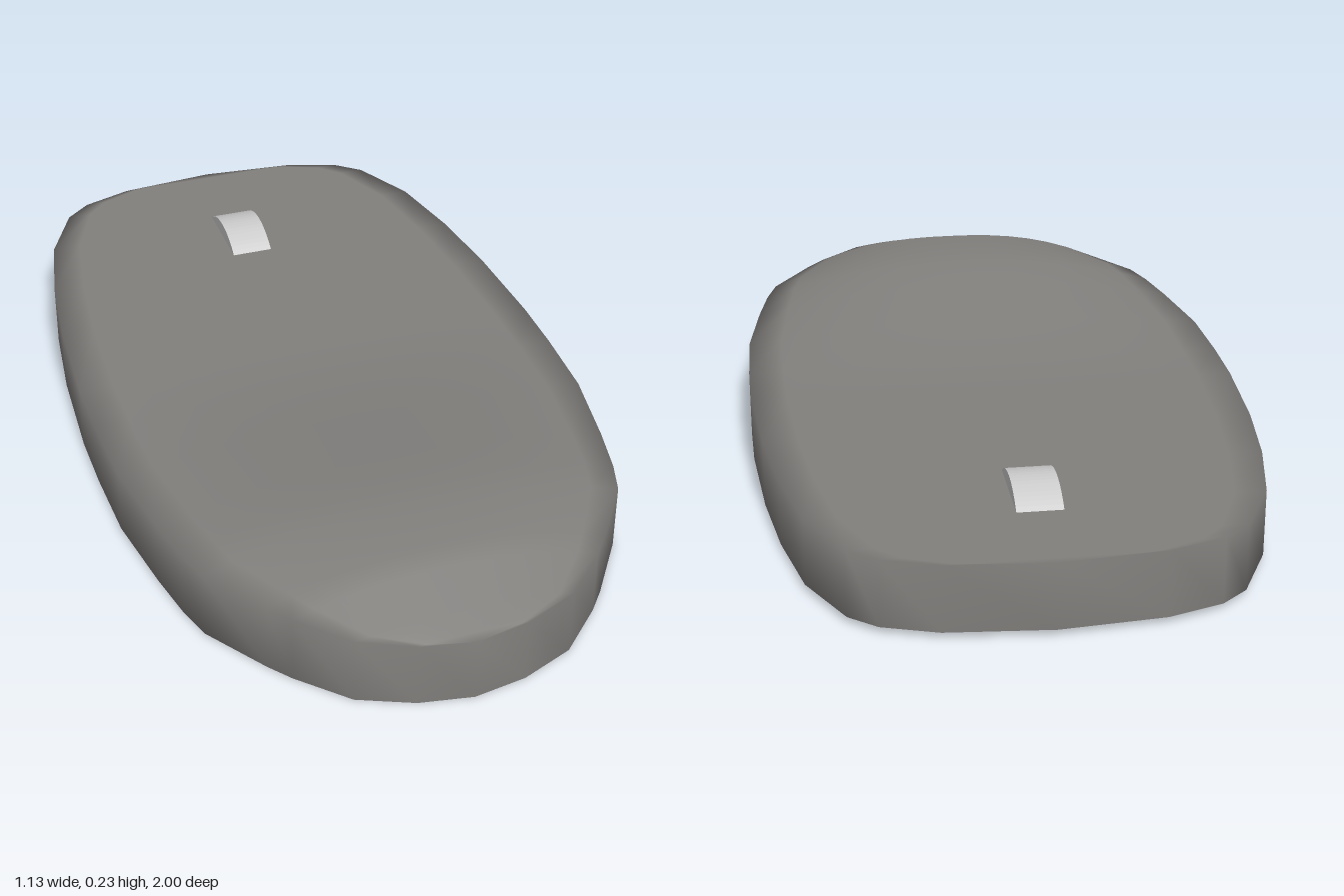
import * as THREE from 'three';
import { mergeVertices } from 'three/addons/utils/BufferGeometryUtils.js';

// Cross-sections from back to front: [z, half width, rim height, crown height]
const SECTIONS = [
  [-1, 0, 0.165, 0.165], [-0.98, 0.23, 0.165, 0.165], [-0.94, 0.35, 0.165, 0.165],
  [-0.89, 0.41, 0.165, 0.165], [-0.74, 0.485, 0.164, 0.165], [-0.55, 0.525, 0.163, 0.165],
  [-0.35, 0.55, 0.162, 0.165], [-0.1, 0.565, 0.16, 0.165], [0.05, 0.565, 0.16, 0.169],
  [0.24, 0.558, 0.16, 0.191], [0.44, 0.525, 0.16, 0.216], [0.56, 0.5, 0.16, 0.23],
  [0.64, 0.475, 0.16, 0.232], [0.78, 0.38, 0.16, 0.23], [0.83, 0.34, 0.16, 0.212],
  [0.93, 0.24, 0.157, 0.176], [0.98, 0.12, 0.153, 0.158], [1, 0, 0.15, 0.15],
];
const COLS = 14;

// Closed loop of each section: domed top from right to left, flat base back again
function bodyGeometry() {
  const pos = [], index = [], ring = 2 * (COLS + 1);
  for (const [z, w, rim, crown] of SECTIONS) {
    const base = 0.0075 * (1 - z);
    for (let k = 0; k < ring; k++) {
      const onTop = k <= COLS;
      const t = onTop ? -1 + 2 * k / COLS : 1 - 2 * (k - COLS - 1) / COLS;
      const top = rim + (crown - rim) * (1 - Math.abs(t) ** 2.5);
      pos.push(w * t, onTop ? top : base, z);
    }
  }
  for (let i = 0; i < SECTIONS.length - 1; i++) {
    for (let k = 0; k < ring; k++) {
      const a = i * ring + k, b = i * ring + (k + 1) % ring;
      index.push(a, a + ring, b, b, a + ring, b + ring);
    }
  }
  const geo = new THREE.BufferGeometry();
  geo.setAttribute('position', new THREE.Float32BufferAttribute(pos, 3));
  geo.setIndex(index);
  // Welding the tips keeps the shading soft all the way around
  const welded = mergeVertices(geo, 1e-4);
  welded.computeVertexNormals();
  return welded;
}

// Visible arc of the scroll wheel, closed by a chord hidden in the body
function wheelGeometry() {
  const r = 0.17, half = 0.72;
  const shape = new THREE.Shape();
  shape.absarc(0, 0, r, Math.PI / 2 - half, Math.PI / 2 + half, false);
  shape.closePath();
  const geo = new THREE.ExtrudeGeometry(shape, { depth: 0.1, curveSegments: 10, bevelEnabled: false });
  geo.translate(0, 0, -0.05);
  geo.rotateY(Math.PI / 2);
  return geo;
}

export function createModel() {
  const group = new THREE.Group();

  const body = new THREE.Mesh(bodyGeometry(), new THREE.MeshStandardMaterial({ color: 0x82807d }));
  body.name = 'body';
  group.add(body);

  const wheel = new THREE.Mesh(wheelGeometry(), new THREE.MeshStandardMaterial({ color: 0xcccccc }));
  wheel.name = 'scrollWheel';
  wheel.position.set(0, 0.03, -0.67);
  group.add(wheel);

  return group;
}
